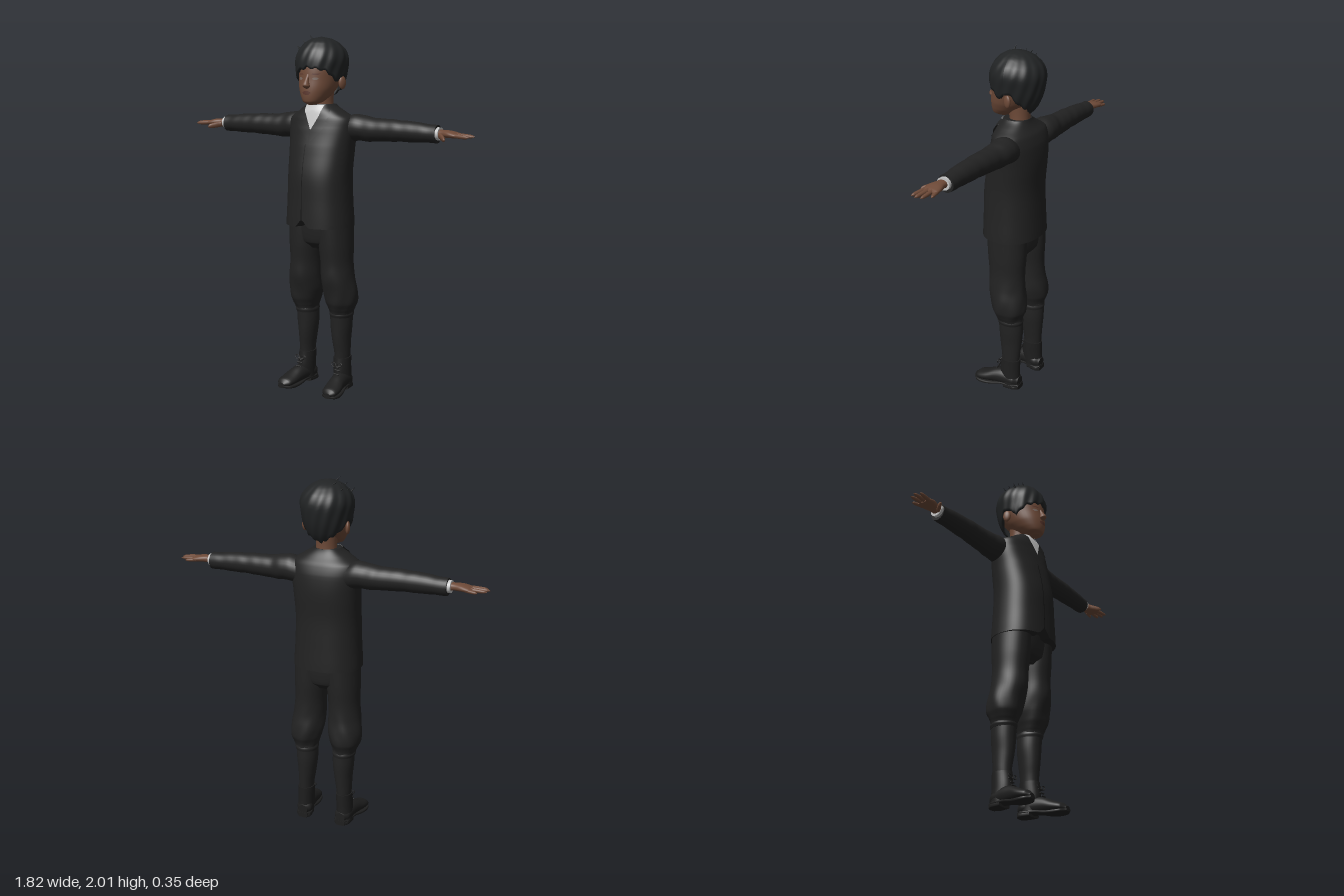
import * as THREE from 'three';

const mat = (name, color, side = THREE.FrontSide) => {
  const m = new THREE.MeshStandardMaterial({ color, side });
  m.name = name;
  return m;
};

// Smooth in-between rows of a list of cross-sections
function refine(rings, steps = 5) {
  const out = [];
  const last = rings.length - 1;
  for (let i = 0; i < last; i++) {
    const [p, q, r, s] = [-1, 0, 1, 2].map(k => rings[Math.min(last, Math.max(0, i + k))]);
    for (let j = 0; j < steps; j++) {
      const t = j / steps;
      out.push(q.map((b, k) => {
        if (k === 0) return b + (r[0] - b) * t;
        const m0 = (r[k] - p[k]) / 2, m1 = (s[k] - b) / 2;
        return (2 * b - 2 * r[k] + m0 + m1) * t ** 3 + (3 * r[k] - 3 * b - 2 * m0 - m1) * t * t + m0 * t + b;
      }));
    }
  }
  out.push(rings[last]);
  return out;
}

// Cross-section at a given position along the axis
function ringAt(rows, t) {
  let i = 0;
  while (i < rows.length - 2 && rows[i + 1][0] < t) i++;
  const f = THREE.MathUtils.clamp((t - rows[i][0]) / (rows[i + 1][0] - rows[i][0]), 0, 1);
  return rows[i].map((v, k) => v + (rows[i + 1][k] - v) * f);
}

const bend = (v, n) => Math.sign(v) * Math.abs(v) ** (2 / n);

function makeGeo(pos, index) {
  const g = new THREE.BufferGeometry();
  g.setAttribute('position', new THREE.Float32BufferAttribute(pos, 3));
  g.setIndex(index);
  g.computeVertexNormals();
  return g;
}

// Closed tube through rings [position, centre1, centre2, radius1, radius2] along an axis
function loft(rings, { axis = 'y', seg = 28, n = 2, ripple = () => 0, steps = 5 } = {}) {
  const rows = refine(rings, steps), pos = [], index = [];
  const put = (t, a, b) => pos.push(...(axis === 'y' ? [a, t, b] : axis === 'x' ? [t, a, b] : [a, b, t]));
  const turn = axis === 'y' ? 1 : -1;
  for (const [t, c1, c2, r1, r2] of rows) {
    for (let j = 0; j < seg; j++) {
      const a = j / seg * Math.PI * 2, k = 1 + ripple(t, a);
      put(t, c1 + r1 * k * bend(Math.cos(a), n), c2 + turn * r2 * k * bend(Math.sin(a), n));
    }
  }
  for (let i = 0; i < rows.length - 1; i++) for (let j = 0; j < seg; j++) {
    const a = i * seg + j, b = i * seg + (j + 1) % seg;
    index.push(a, a + seg, b, b, a + seg, b + seg);
  }
  // End caps with their own vertices so the rims stay sharp
  for (const i of [0, rows.length - 1]) {
    const base = pos.length / 3;
    pos.push(...pos.slice(i * seg * 3, (i + 1) * seg * 3));
    put(rows[i][0], rows[i][1], rows[i][2]);
    for (let j = 0; j < seg; j++) {
      const a = base + j, b = base + (j + 1) % seg;
      index.push(...(i ? [a, base + seg, b] : [a, b, base + seg]));
    }
  }
  return makeGeo(pos, index);
}

// Thin patch lying on the front of a body; rows are [y, x0, x1] from bottom to top
function patch(body, n, lift, edges) {
  const rows = refine(body), pos = [], index = [], w = 9;
  const lines = [];
  for (let i = 0; i < edges.length - 1; i++) for (let j = 0; j < 4; j++)
    lines.push(edges[i].map((v, k) => v + (edges[i + 1][k] - v) * j / 4));
  lines.push(edges[edges.length - 1]);
  lines.forEach(([y, x0, x1], i) => {
    const [, cx, cz, rx, rz] = ringAt(rows, y);
    for (let j = 0; j < w; j++) {
      const x = x0 + (x1 - x0) * j / (w - 1);
      pos.push(x, y, cz + rz * Math.max(0, 1 - Math.abs((x - cx) / rx) ** n) ** (1 / n) + lift);
      if (i && j) {
        const d = i * w + j, c = d - 1, b = d - w, a = b - 1;
        index.push(a, b, c, b, d, c);
      }
    }
  });
  return makeGeo(pos, index);
}

function mirror(geo) {
  const g = geo.clone().scale(-1, 1, 1), ix = g.index;
  for (let i = 0; i < ix.count; i += 3) {
    const b = ix.getX(i + 1);
    ix.setX(i + 1, ix.getX(i + 2));
    ix.setX(i + 2, b);
  }
  return g;
}

export function createModel() {
  const model = new THREE.Group();
  model.name = 'boyInSuit';
  const cloth = mat('charcoal cloth', 0x222222, THREE.DoubleSide);
  const seam = mat('black seam', 0x111111, THREE.DoubleSide);
  const leather = mat('black leather', 0x1e1e1e);
  const hairMat = mat('black hair', 0x212324, THREE.DoubleSide);
  const skin = mat('brown skin', 0x6e4a38);
  const white = mat('pale shirt', 0xc4c4c4, THREE.DoubleSide);
  const eyeMat = mat('eye grey', 0x7a6a62, THREE.DoubleSide);
  const lipMat = mat('lip brown', 0x5c382e, THREE.DoubleSide);

  const add = (name, geo, m) => {
    const mesh = new THREE.Mesh(geo, m);
    mesh.name = name;
    model.add(mesh);
  };
  const pair = (name, geo, m) => {
    add(name + 'Left', geo, m);
    add(name + 'Right', mirror(geo), m);
  };

  // Jacket body, with rounded front corners at the hem
  const torso = [[0.96, 0, 0.002, 0.195, 0.162], [1.1, 0, 0.003, 0.187, 0.157], [1.25, 0, 0.002, 0.183, 0.152],
    [1.4, 0, -0.017, 0.19, 0.141], [1.5, 0, -0.027, 0.2, 0.125], [1.56, 0, -0.025, 0.192, 0.108],
    [1.6, 0, -0.015, 0.13, 0.088], [1.635, 0, -0.015, 0.078, 0.072]];
  const jacket = loft(torso, { n: 2.3, seg: 72 });
  const jp = jacket.attributes.position;
  for (let i = 0; i < jp.count; i++) {
    const near = 1 - Math.abs(jp.getX(i) + 0.02) / 0.045;
    if (jp.getY(i) < 1.03 && jp.getZ(i) > 0.1 && near > 0)
      jp.setY(i, jp.getY(i) + near * 0.05 * (1.03 - jp.getY(i)) / 0.07);
  }
  jacket.computeVertexNormals();
  add('jacket', jacket, cloth);
  add('jacketOpening', patch(torso, 2.3, 0.003, [[1.0, -0.024, -0.019], [1.42, -0.024, -0.019]]), seam);

  // Shirt front, collar points and lapels
  add('shirtFront', patch(torso, 2.3, 0.004, [[1.5, -0.004, 0.004], [1.6, -0.055, 0.055], [1.632, -0.06, 0.06]]), white);
  pair('shirtCollar', patch(torso, 2.3, 0.009, [[1.56, 0.022, 0.026], [1.6, 0.012, 0.055], [1.634, 0.02, 0.062]]), white);
  pair('lapel', patch(torso, 2.3, 0.01, [[1.44, 0.005, 0.012], [1.5, 0.004, 0.07], [1.54, 0.026, 0.105], [1.555, 0.034, 0.075]]), cloth);
  pair('jacketCollar', patch(torso, 2.3, 0.011, [[1.55, 0.032, 0.085], [1.575, 0.045, 0.105], [1.61, 0.055, 0.095], [1.633, 0.058, 0.073]]), cloth);

  // Sleeves, shirt cuffs and hands
  const folds = (t, a) => 0.025 * Math.sin(t * 62 + 2 * Math.sin(a)) * Math.sin(t * 17);
  pair('sleeve', loft([[0.11, 1.49, -0.05, 0.07, 0.07], [0.2, 1.51, -0.055, 0.074, 0.075], [0.3, 1.503, -0.052, 0.066, 0.064],
    [0.42, 1.504, -0.05, 0.06, 0.059], [0.55, 1.502, -0.05, 0.055, 0.053], [0.695, 1.497, -0.052, 0.047, 0.047]],
  { axis: 'x', ripple: folds, steps: 9 }), cloth);
  pair('shirtCuff', loft([[0.66, 1.499, -0.048, 0.034, 0.038], [0.712, 1.5, -0.048, 0.034, 0.038]], { axis: 'x' }), white);
  pair('palm', loft([[0.69, 1.5, -0.047, 0.022, 0.027], [0.73, 1.502, -0.045, 0.02, 0.03], [0.77, 1.501, -0.043, 0.019, 0.043],
    [0.805, 1.497, -0.043, 0.015, 0.046], [0.825, 1.495, -0.042, 0.009, 0.04]], { axis: 'x', n: 2.3 }), skin);
  const digit = (name, x0, y0, z0, x1, y1, z1, r) => pair(name, loft([0, 0.5, 0.85, 1].map((t, i) => {
    const k = r * [1, 0.95, 0.75, 0.15][i];
    return [x0 + (x1 - x0) * t, y0 + (y1 - y0) * t, z0 + (z1 - z0) * t, k, k];
  }), { axis: 'x', seg: 12 }), skin);
  digit('indexFinger', 0.8, 1.497, -0.012, 0.893, 1.492, 0.003, 0.0115);
  digit('middleFinger', 0.8, 1.499, -0.034, 0.908, 1.494, -0.028, 0.0115);
  digit('ringFinger', 0.8, 1.498, -0.057, 0.9, 1.493, -0.058, 0.011);
  digit('littleFinger', 0.79, 1.495, -0.077, 0.857, 1.49, -0.088, 0.0095);
  digit('thumb', 0.715, 1.493, -0.028, 0.778, 1.477, 0.038, 0.017);

  // Knee breeches
  add('breechesSeat', loft([[0.83, 0, -0.01, 0.05, 0.07], [0.87, 0, -0.01, 0.16, 0.108], [0.98, 0, -0.008, 0.185, 0.12]]), cloth);
  const baggy = (t, a) => t < 0.72 ? 0.022 * Math.sin(6 * a + t * 24) * Math.min(1, (0.72 - t) * 6) : 0;
  pair('breechesLeg', loft([[0.455, 0.118, -0.04, 0.064, 0.076], [0.48, 0.12, -0.037, 0.073, 0.083], [0.52, 0.121, -0.036, 0.088, 0.1],
    [0.58, 0.115, -0.03, 0.097, 0.105], [0.66, 0.108, -0.015, 0.092, 0.108], [0.75, 0.103, -0.012, 0.088, 0.107],
    [0.85, 0.099, -0.01, 0.093, 0.115], [0.98, 0.097, -0.008, 0.093, 0.12]], { ripple: baggy, seg: 40 }), cloth);
  pair('kneeBand', loft([[0.432, 0.116, -0.043, 0.063, 0.074], [0.448, 0.117, -0.042, 0.067, 0.078], [0.465, 0.117, -0.041, 0.063, 0.074]]), cloth);

  // Stockings and laced boots
  pair('stocking', loft([[0.15, 0.119, -0.045, 0.04, 0.053], [0.2, 0.12, -0.047, 0.042, 0.055], [0.3, 0.115, -0.045, 0.051, 0.066],
    [0.38, 0.114, -0.045, 0.06, 0.072], [0.47, 0.115, -0.042, 0.061, 0.074]]), cloth);
  pair('bootShaft', loft([[0.03, 0.126, -0.05, 0.046, 0.057], [0.1, 0.123, -0.043, 0.046, 0.062], [0.19, 0.12, -0.047, 0.047, 0.059]]), leather);
  pair('bootFoot', loft([[-0.108, 0.12, 0.05, 0.028, 0.028], [-0.08, 0.122, 0.055, 0.046, 0.04], [-0.02, 0.13, 0.06, 0.046, 0.05],
    [0.04, 0.138, 0.056, 0.047, 0.045], [0.1, 0.148, 0.043, 0.051, 0.033], [0.15, 0.153, 0.034, 0.044, 0.024],
    [0.174, 0.157, 0.027, 0.018, 0.011]], { axis: 'z' }), leather);
  pair('bootSole', loft([[-0.11, 0.12, 0.026, 0.03, 0.008], [-0.08, 0.122, 0.026, 0.047, 0.008], [0, 0.133, 0.024, 0.043, 0.008],
    [0.06, 0.142, 0.013, 0.05, 0.009], [0.11, 0.149, 0.01, 0.053, 0.01], [0.15, 0.153, 0.012, 0.046, 0.009],
    [0.178, 0.157, 0.016, 0.018, 0.007]], { axis: 'z', n: 4 }), leather);
  pair('bootHeel', loft([[-0.112, 0.12, 0.014, 0.028, 0.014], [-0.09, 0.121, 0.014, 0.045, 0.014], [-0.025, 0.128, 0.014, 0.044, 0.014]], { axis: 'z', n: 4 }), leather);
  for (const side of [-1, 1])
    pair(side > 0 ? 'outerLaceLoop' : 'innerLaceLoop', new THREE.TorusGeometry(0.017, 0.003, 6, 16)
      .scale(1, 0.65, 1).rotateZ(side * 0.6).rotateX(-0.3).translate(0.125 + side * 0.018, 0.155, 0.026), leather);
  for (let i = 0; i < 3; i++)
    pair('laceRow' + i, new THREE.CapsuleGeometry(0.004, 0.03, 3, 8).rotateZ(1.57)
      .translate(0.13, 0.145 - i * 0.02, 0.016 + i * 0.011), leather);

  // Neck, head and face
  add('neck', loft([[1.56, 0, -0.03, 0.064, 0.06], [1.64, 0, -0.028, 0.057, 0.056], [1.74, 0, -0.02, 0.062, 0.07]]), skin);
  const head = [[1.635, 0, 0.085, 0.02, 0.03], [1.65, 0, 0.073, 0.053, 0.061], [1.68, 0, 0.048, 0.077, 0.092],
    [1.72, 0, 0.024, 0.098, 0.116], [1.77, 0, 0, 0.112, 0.134], [1.83, 0, -0.01, 0.12, 0.138],
    [1.9, 0, -0.015, 0.115, 0.128], [1.95, 0, -0.015, 0.085, 0.095], [1.975, 0, -0.015, 0.03, 0.03]];
  add('head', loft(head, { seg: 40 }), skin);
  add('nose', loft([[1.722, 0, 0.132, 0.012, 0.008], [1.735, 0, 0.142, 0.021, 0.02], [1.748, 0, 0.143, 0.017, 0.021],
    [1.77, 0, 0.135, 0.011, 0.014], [1.8, 0, 0.126, 0.009, 0.006]], { seg: 16 }), skin);
  pair('ear', new THREE.SphereGeometry(1, 16, 12).scale(0.013, 0.036, 0.024).rotateY(-0.35).translate(0.123, 1.752, -0.028), skin);
  pair('eye', patch(head, 2, 0.003, [[1.768, 0.042, 0.05], [1.776, 0.03, 0.063], [1.783, 0.04, 0.055]]), eyeMat);
  pair('eyebrow', patch(head, 2, 0.003, [[1.797, 0.025, 0.06], [1.803, 0.03, 0.07]]), lipMat);
  add('lips', patch(head, 2, 0.004, [[1.69, -0.014, 0.014], [1.701, -0.028, 0.028], [1.711, -0.01, 0.01]]), lipMat);

  // Hair cap: hangs to a hairline that changes around the head, with wavy locks
  const hairRows = refine([[1.66, 0, -0.035, 0.075, 0.055], [1.7, 0, -0.022, 0.103, 0.102], [1.76, 0, -0.01, 0.127, 0.141],
    [1.82, 0, -0.013, 0.138, 0.152], [1.88, 0, -0.017, 0.145, 0.152], [1.93, 0, -0.017, 0.128, 0.133],
    [1.97, 0, -0.014, 0.09, 0.095], [1.99, 0, -0.01, 0.05, 0.054], [2, 0, -0.008, 0.002, 0.002]]);
  const hairline = refine([[0, 1.835], [45, 1.815], [78, 1.762], [98, 1.795], [125, 1.73], [180, 1.672]]);
  const pos = [], index = [], seg = 96, rowsUp = 22;
  for (let i = 0; i <= rowsUp; i++) for (let j = 0; j <= seg; j++) {
    const a = j / seg * Math.PI * 2, x = Math.cos(a), z = Math.sin(a);
    const angle = Math.acos(THREE.MathUtils.clamp(z, -1, 1)) * 180 / Math.PI;
    const low = ringAt(hairline, angle)[1] + 0.006 * Math.sin(a * 17) - (z > 0.3 && x < 0 ? 0.02 * -x : 0);
    const v = Math.max(0, i - 1) / (rowsUp - 1);
    const y = low + (2 - low) * Math.sin(v * Math.PI / 2);
    const [, cx, cz, rx, rz] = ringAt(hairRows, y);
    const k = (i ? 1 : 0.88) + 0.018 * Math.sin(a * 14 + y * 30) * Math.cos(v * 1.4);
    pos.push(cx + rx * k * x, y, cz + rz * k * z);
    if (i && j) {
      const d = i * (seg + 1) + j, c = d - 1, b = d - seg - 1;
      index.push(b - 1, c, b, b, c, d);
    }
  }
  add('hair', makeGeo(pos, index), hairMat);

  // Loose tufts on the crown
  for (let i = 0; i < 7; i++) {
    const tilt = 0.75 + 0.14 * (i % 3);
    add('hairTuft' + i, new THREE.ConeGeometry(0.012, 0.07, 6).rotateZ(tilt)
      .translate(-0.115 + 0.014 * i, 1.93 + 0.009 * i, 0.03 - 0.045 * (i % 3)), hairMat);
  }
  return model;
}
